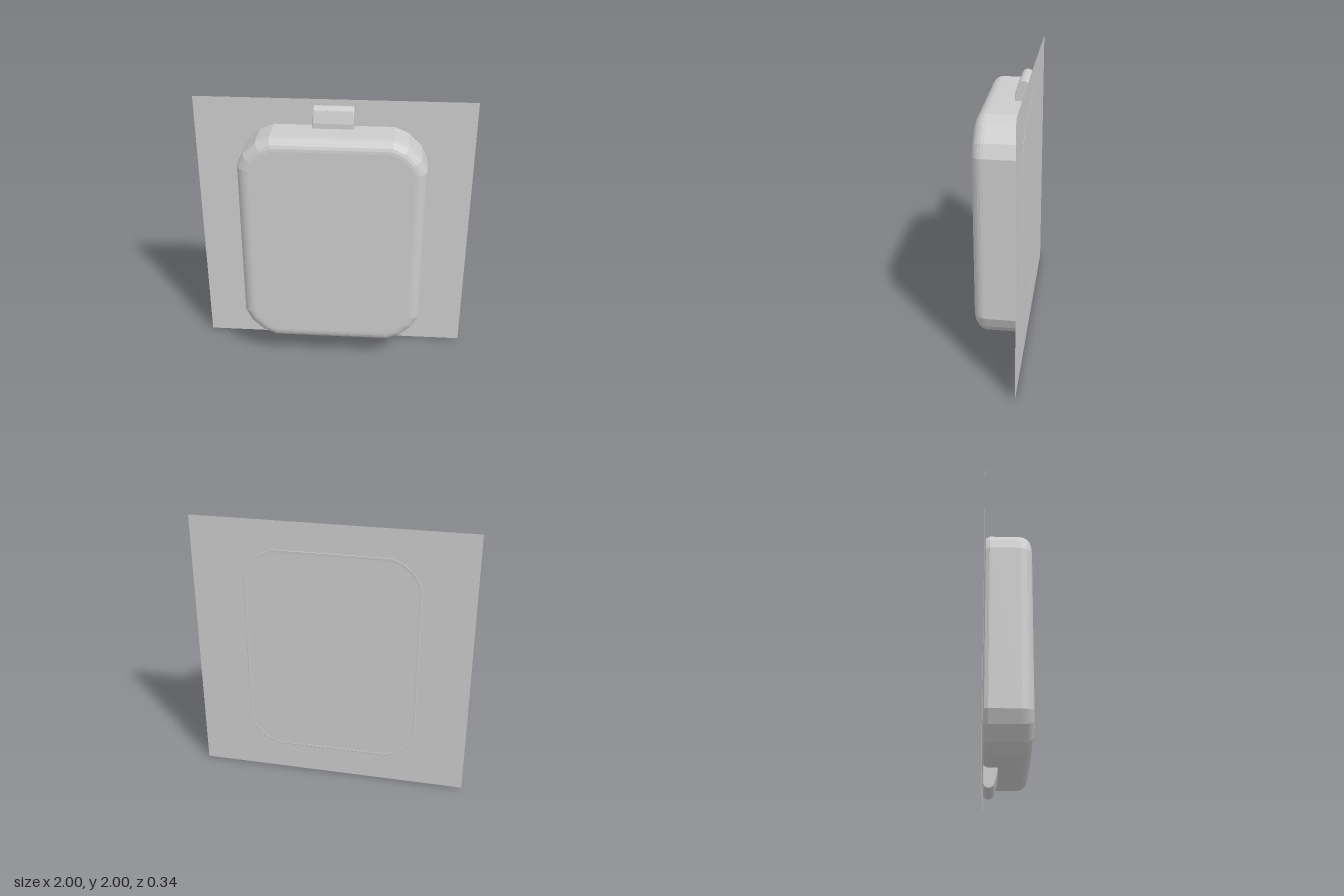
import * as THREE from 'three';

const material = new THREE.MeshStandardMaterial({ color: 0xcccccc, flatShading: true });
const smooth = new THREE.MeshStandardMaterial({ color: 0xcccccc });

// Corner points of one quadrant, mirrored counter-clockwise into the case outline
const quadrant = [[0.66, 0.6], [0.618, 0.69], [0.525, 0.78], [0.425, 0.823]];
function outline() {
  const flip = (sx, sy) => quadrant.map(([x, y]) => new THREE.Vector2(x * sx, y * sy));
  return [...flip(1, 1), ...flip(-1, 1).reverse(), ...flip(-1, -1), ...flip(1, -1).reverse()];
}

// Moves every edge of the outline inwards by d, with mitred corners
function inset(points, d) {
  const n = points.length;
  const normal = (a, b) => new THREE.Vector2(a.y - b.y, b.x - a.x).normalize();
  return points.map((p, i) => {
    const n1 = normal(points[(i + n - 1) % n], p);
    const n2 = normal(p, points[(i + 1) % n]);
    return p.clone().addScaledVector(n1.clone().add(n2), d / (1 + n1.dot(n2)));
  });
}

// Case: inset outlines stacked from back to front, closed at both ends
function caseGeometry() {
  const profile = [[0.06, -0.166], [0.035, -0.168], [0.012, -0.157], [0, -0.13]];
  for (let i = 0; i <= 6; i++) {
    const a = (i / 6) * Math.PI / 2;
    profile.push([0.085 * (1 - Math.cos(a)), 0.085 + 0.083 * Math.sin(a)]);
  }
  const base = outline();
  const n = base.length;
  const positions = [];
  const index = [];
  for (const [d, z] of profile) {
    for (const p of inset(base, d)) positions.push(p.x, p.y + 1, z);
  }
  for (let r = 0; r < profile.length - 1; r++) {
    for (let i = 0; i < n; i++) {
      const a = r * n + i;
      const b = r * n + (i + 1) % n;
      index.push(a, b, b + n, a, b + n, a + n);
    }
  }
  const last = (profile.length - 1) * n;
  for (let i = 1; i < n - 1; i++) {
    index.push(0, i + 1, i, last, last + i, last + i + 1);
  }
  const g = new THREE.BufferGeometry();
  g.setAttribute('position', new THREE.Float32BufferAttribute(positions, 3));
  g.setIndex(index);
  g.computeVertexNormals();
  return g;
}

// Tab: side profile with a rounded tip, extruded across the width
function tabGeometry() {
  const s = new THREE.Shape();
  s.moveTo(-0.163, 0.75);
  s.lineTo(-0.06, 0.75);
  s.lineTo(-0.06, 0.86);
  s.lineTo(-0.083, 0.94);
  s.absarc(-0.122, 0.928, 0.041, 0.3, Math.PI, false);
  s.lineTo(-0.163, 0.75);
  const g = new THREE.ExtrudeGeometry(s, {
    depth: 0.27, curveSegments: 10,
    bevelEnabled: true, bevelThickness: 0.008, bevelSize: 0.006, bevelOffset: -0.006, bevelSegments: 2,
  });
  g.translate(0, 0, -0.135);
  g.rotateY(-Math.PI / 2);
  return g;
}

export function createModel() {
  const group = new THREE.Group();
  const add = (name, geometry, mat) => {
    const mesh = new THREE.Mesh(geometry, mat);
    mesh.name = name;
    group.add(mesh);
    return mesh;
  };

  add('case', caseGeometry(), material);

  // Upper and lower tabs
  for (const [name, angle] of [['topTab', 0], ['bottomTab', Math.PI]]) {
    const tab = add(name, tabGeometry(), smooth);
    tab.position.y = 1;
    tab.rotation.z = angle;
  }

  // Thin square backing sheet
  const sheetMaterial = new THREE.MeshStandardMaterial({ color: 0xcccccc, side: THREE.DoubleSide });
  add('backingSheet', new THREE.PlaneGeometry(2, 2), sheetMaterial).position.set(0, 1, -0.1665);

  return group;
}
